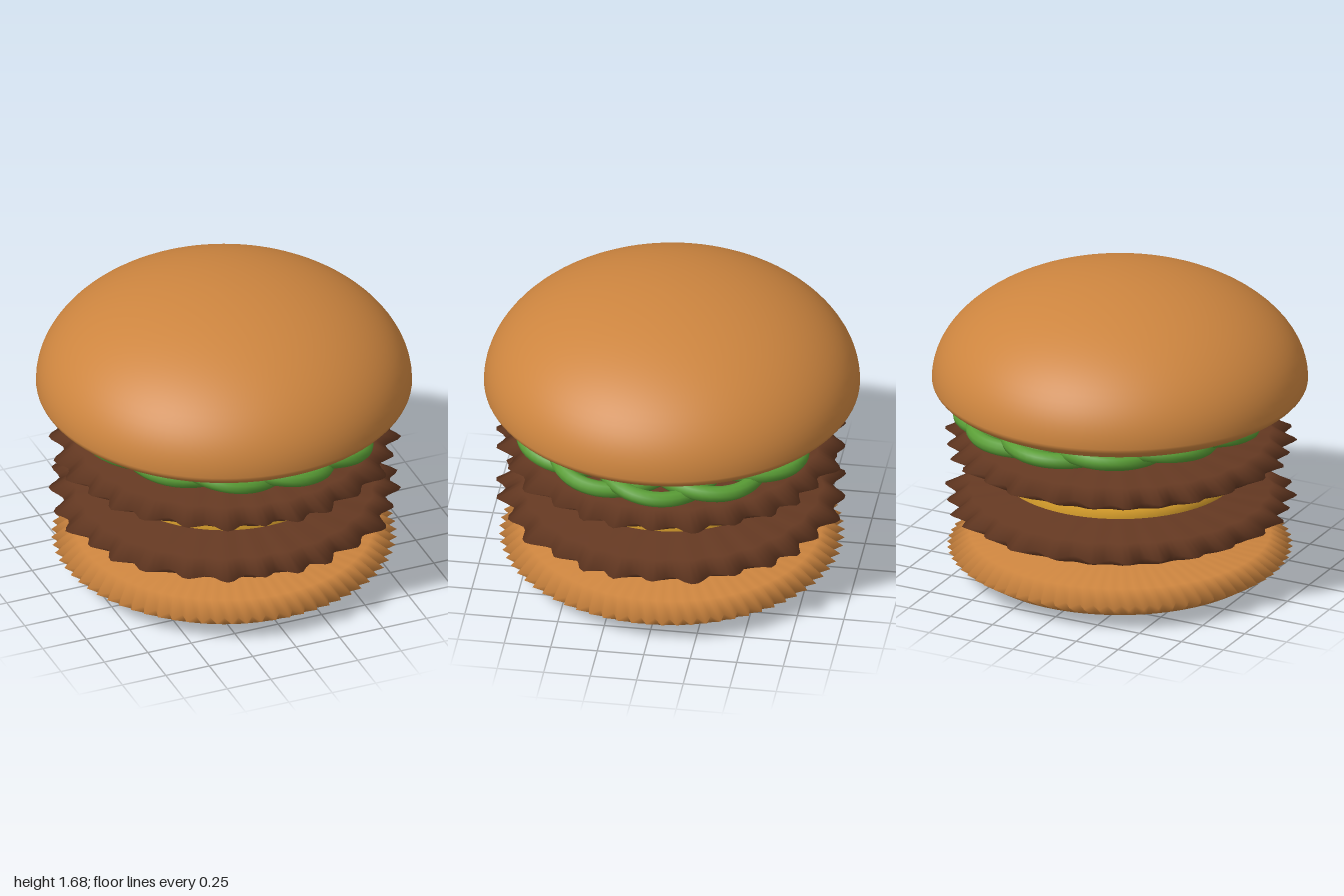
import * as THREE from 'three';
import { mergeVertices } from 'three/addons/utils/BufferGeometryUtils.js';

const paint = (name, color) => {
  const m = new THREE.MeshStandardMaterial({ color });
  m.name = name;
  return m;
};

// Turned solid (profile from bottom to top) whose radius can follow a rule around the axis
function turned(profile, segments, rule) {
  const g = new THREE.LatheGeometry(profile.map(([r, y]) => new THREE.Vector2(r, y)), segments);
  g.deleteAttribute('uv');
  g.deleteAttribute('normal');
  const p = g.attributes.position;
  if (rule) {
    for (let i = 0; i < p.count; i++) {
      const x = p.getX(i), z = p.getZ(i), r = Math.hypot(x, z);
      if (r < 0.01) continue;
      const k = rule(Math.atan2(x, z), r);
      p.setX(i, x * k);
      p.setZ(i, z * k);
    }
  }
  const merged = mergeVertices(g, 1e-4);
  merged.computeVertexNormals();
  return merged;
}

// Closed strand that winds round the ring while coiling about its middle
class CoiledRing extends THREE.Curve {
  getPoint(t, target = new THREE.Vector3()) {
    const u = t * Math.PI * 2 * 4, v = t * Math.PI * 2 * 13;
    const r = 0.65 + 0.2 * Math.cos(v);
    return target.set(r * Math.cos(u), 0.03 * Math.sin(v), r * Math.sin(u));
  }
}

export function createModel() {
  const burger = new THREE.Group();
  burger.name = 'burger';
  const bun = paint('bun', 0xcd853f);
  const meat = paint('meat', 0x653922);
  const cheese = paint('cheese', 0xdaa02c);
  const green = paint('lettuce', 0x5a9e36);
  const red = paint('tomato', 0xb5552d);

  const add = (name, geometry, material, y = 0) => {
    const mesh = new THREE.Mesh(geometry, material);
    mesh.name = name;
    mesh.position.y = y;
    burger.add(mesh);
    return mesh;
  };

  // Bottom bun with a finely pleated rim
  const pleats = (a, r) => (r > 0.85 ? 0.965 + 0.035 * Math.cos(72 * a) : 1);
  add('bottomBun', turned(
    [[0, 0], [0.8, 0.065], [0.92, 0.14], [0.8, 0.215], [0, 0.275]], 144, pleats), bun);

  // Two patties with an uneven, ragged rim
  const pattyProfile = [[0, -0.105], [0.8, -0.062], [0.935, 0], [0.8, 0.062], [0, 0.105]];
  const ragged = (a, r) => (r > 0.85
    ? 0.965 + 0.035 * Math.sin(28 * a + 0.8 * Math.sin(5 * a)) + 0.015 * Math.sin(11 * a)
    : 1 + 0.012 * Math.sin(28 * a));
  const pattyGeometry = turned(pattyProfile, 168, ragged);
  [['lowerPatty', 0.415], ['upperPatty', 0.735]].forEach(([name, y]) =>
    add(name, pattyGeometry, meat, y));

  // Thin cheese slices
  const sliceProfile = [[0, -0.018], [0.5, -0.012], [0.63, 0], [0.5, 0.012], [0, 0.018]];
  const slice = turned(sliceProfile, 64);
  add('lowerCheese', slice, cheese, 0.547);
  add('upperCheese', slice, cheese, 0.867);

  // Tomato and lettuce lie tilted under the top bun
  add('tomato', turned(sliceProfile, 64), red, 0.918).rotation.z = -0.06;
  const strand = new THREE.TubeGeometry(new CoiledRing(), 520, 0.043, 10, true);
  add('lettuce', strand, green, 0.945).rotation.z = -0.062;

  // Top bun: tall half ellipse over a shallow one
  const dome = [];
  for (let i = 0; i <= 48; i++) {
    const a = -Math.PI / 2 + (Math.PI * i) / 48;
    const r = i === 0 || i === 48 ? 0 : Math.cos(a);
    dome.push([r, 1.1 + Math.sin(a) * (a < 0 ? 0.19 : 0.58)]);
  }
  add('topBun', turned(dome, 96), bun);

  return burger;
}
